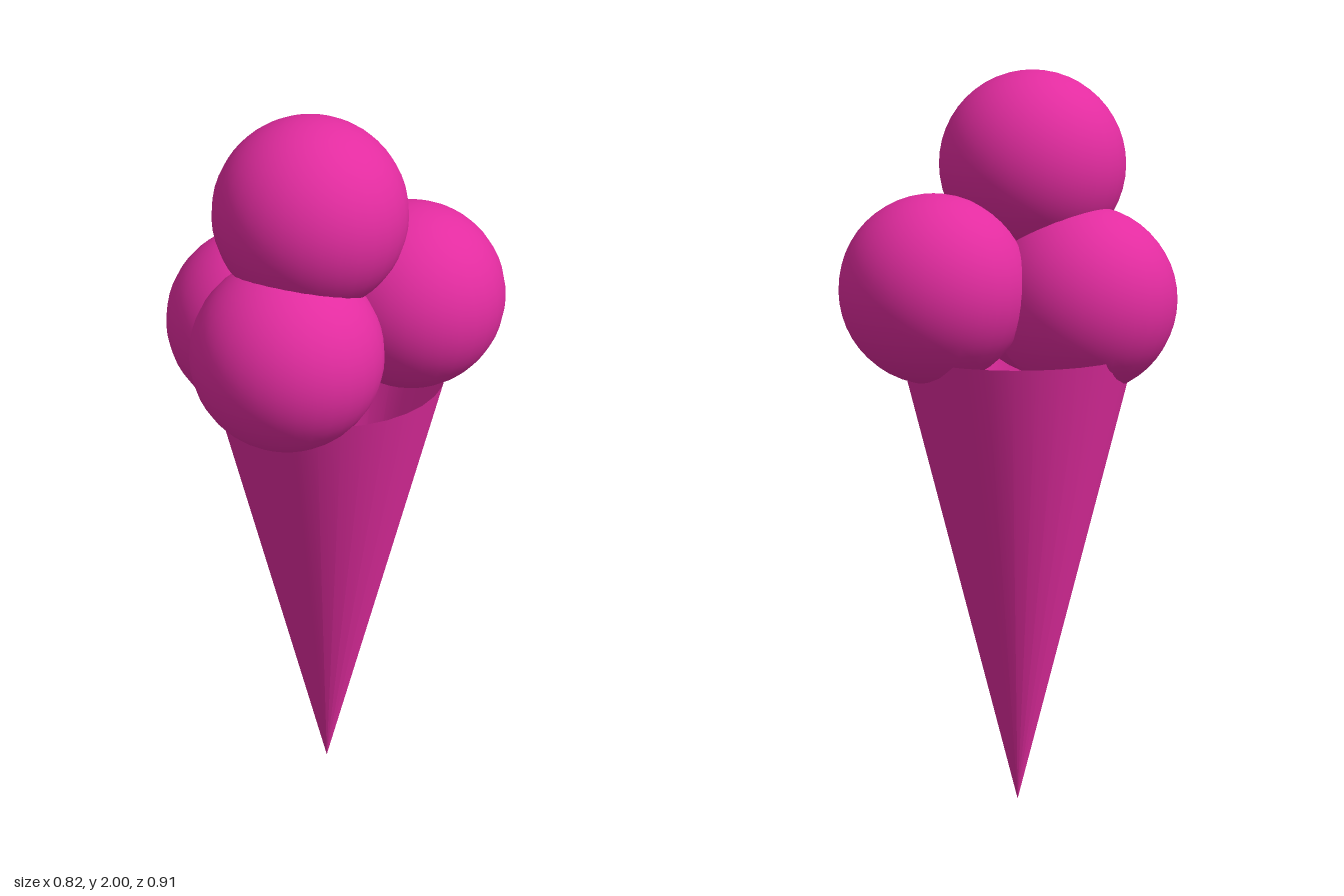
import * as THREE from 'three';

export function createModel() {
  const group = new THREE.Group();
  const pink = new THREE.MeshStandardMaterial({ color: 0xe32ca0 });
  const pinkOpen = new THREE.MeshStandardMaterial({ color: 0xe32ca0, side: THREE.DoubleSide });

  // Hollow cone, open at the rim and pointed at the bottom
  const height = 1.26;
  const cone = new THREE.Mesh(new THREE.CylinderGeometry(0.315, 0, height, 32, 1, true), pinkOpen);
  cone.name = 'cone';
  cone.position.set(0.005, height / 2, -0.02);
  group.add(cone);

  // Four equal scoops: three resting in the rim, one stacked on top
  const scoopGeometry = new THREE.SphereGeometry(0.25, 32, 24);
  const scoops = {
    frontScoop: [0.005, 1.41, 0.205],
    rightScoop: [-0.16, 1.4, 0.04],
    backScoop: [0.16, 1.44, -0.205],
    topScoop: [0.005, 1.75, 0.075],
  };
  for (const [name, position] of Object.entries(scoops)) {
    const scoop = new THREE.Mesh(scoopGeometry, pink);
    scoop.name = name;
    scoop.position.set(...position);
    group.add(scoop);
  }

  return group;
}
